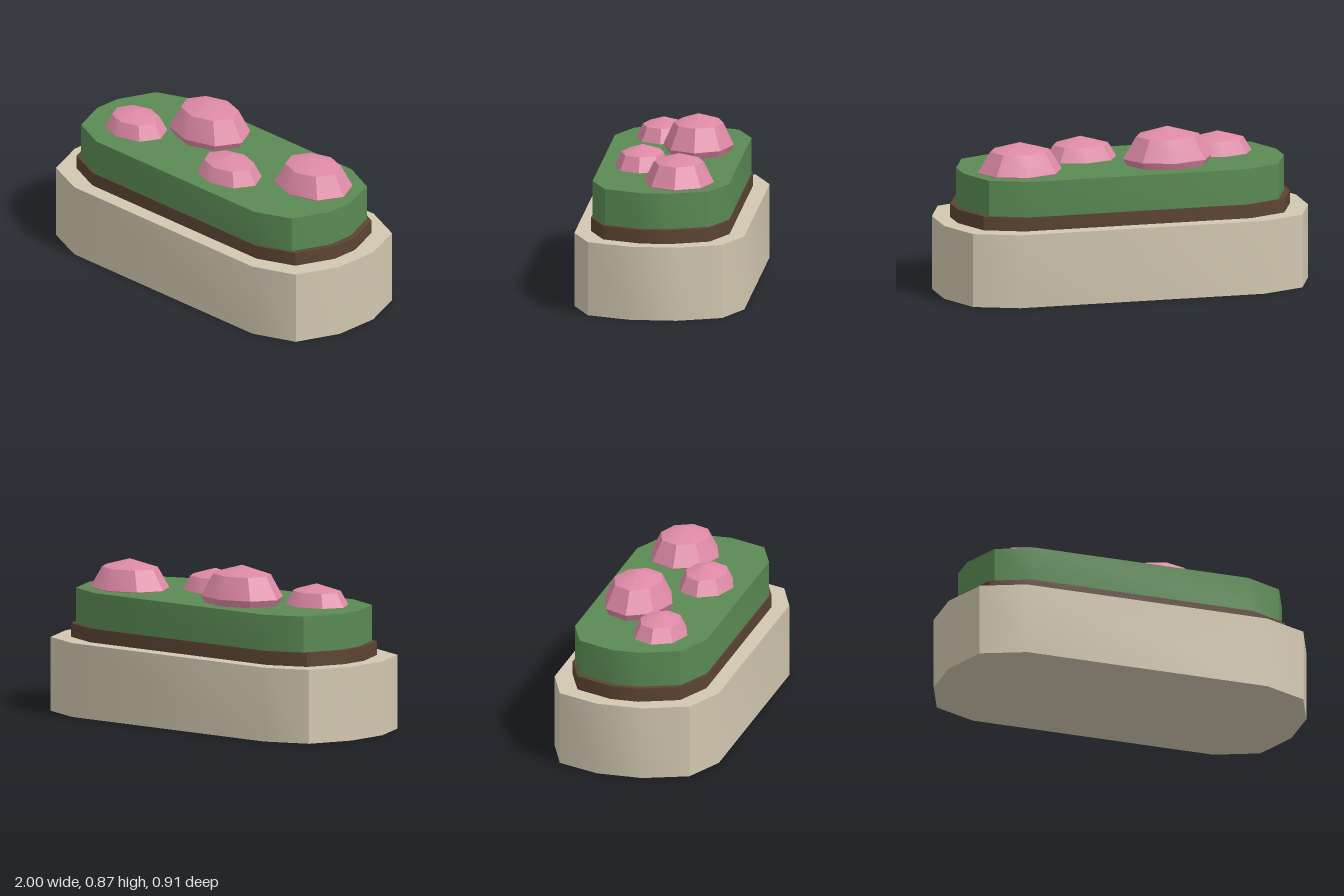
import * as THREE from 'three';
import { toCreasedNormals } from 'three/addons/utils/BufferGeometryUtils.js';

const CREASE = 0.6;

function material(name, color) {
  const m = new THREE.MeshStandardMaterial({ color });
  m.name = name;
  return m;
}

// Upright slab with a 12-sided rounded outline; corner = points of one quarter (x, z)
function slab(name, corner, bottom, top, mat) {
  const flip = (sx, sz) => corner.map(([x, z]) => new THREE.Vector2(x * sx, z * sz));
  const outline = [
    ...flip(1, 1), ...flip(-1, 1).reverse(),
    ...flip(-1, -1), ...flip(1, -1).reverse(),
  ];
  const geo = new THREE.ExtrudeGeometry(new THREE.Shape(outline), { depth: top - bottom, bevelEnabled: false });
  geo.rotateX(-Math.PI / 2);
  const mesh = new THREE.Mesh(toCreasedNormals(geo, CREASE), mat);
  mesh.name = name;
  mesh.position.y = bottom;
  return mesh;
}

// Squashed low-poly ball, partly sunk in the foliage
function bloom([x, y, z], [rx, ry, rz], mat) {
  const geo = new THREE.SphereGeometry(1, 8, 4).scale(rx, ry, rz);
  const mesh = new THREE.Mesh(toCreasedNormals(geo, CREASE), mat);
  mesh.position.set(x, y, z);
  return mesh;
}

export function createModel() {
  const stone = material('stone', 0xd2c7b0);
  const soil = material('soil', 0x5c4433);
  const leaf = material('leaf', 0x5a8a54);
  const pink = material('petal pink', 0xde8aa6);

  const group = new THREE.Group();
  group.name = 'flowerPlanter';

  // Stacked layers
  group.add(
    slab('planterBox', [[1, 0.125], [0.905, 0.358], [0.672, 0.453]], 0, 0.396, stone),
    slab('soilLayer', [[0.912, 0.077], [0.826, 0.283], [0.62, 0.369]], 0.396, 0.47, soil),
    slab('foliage', [[0.88, 0.075], [0.796, 0.278], [0.595, 0.364]], 0.47, 0.662, leaf),
  );

  // Blooms: centre, radii
  const blooms = [
    [[-0.563, 0.64, 0.1], [0.2, 0.135, 0.158]],
    [[-0.228, 0.7, -0.119], [0.244, 0.167, 0.187]],
    [[0.18, 0.635, 0.139], [0.214, 0.146, 0.16]],
    [[0.577, 0.666, -0.095], [0.231, 0.154, 0.187]],
  ];
  blooms.forEach(([centre, radii], i) => {
    const b = bloom(centre, radii, pink);
    b.name = `bloom${i + 1}`;
    group.add(b);
  });
  return group;
}
